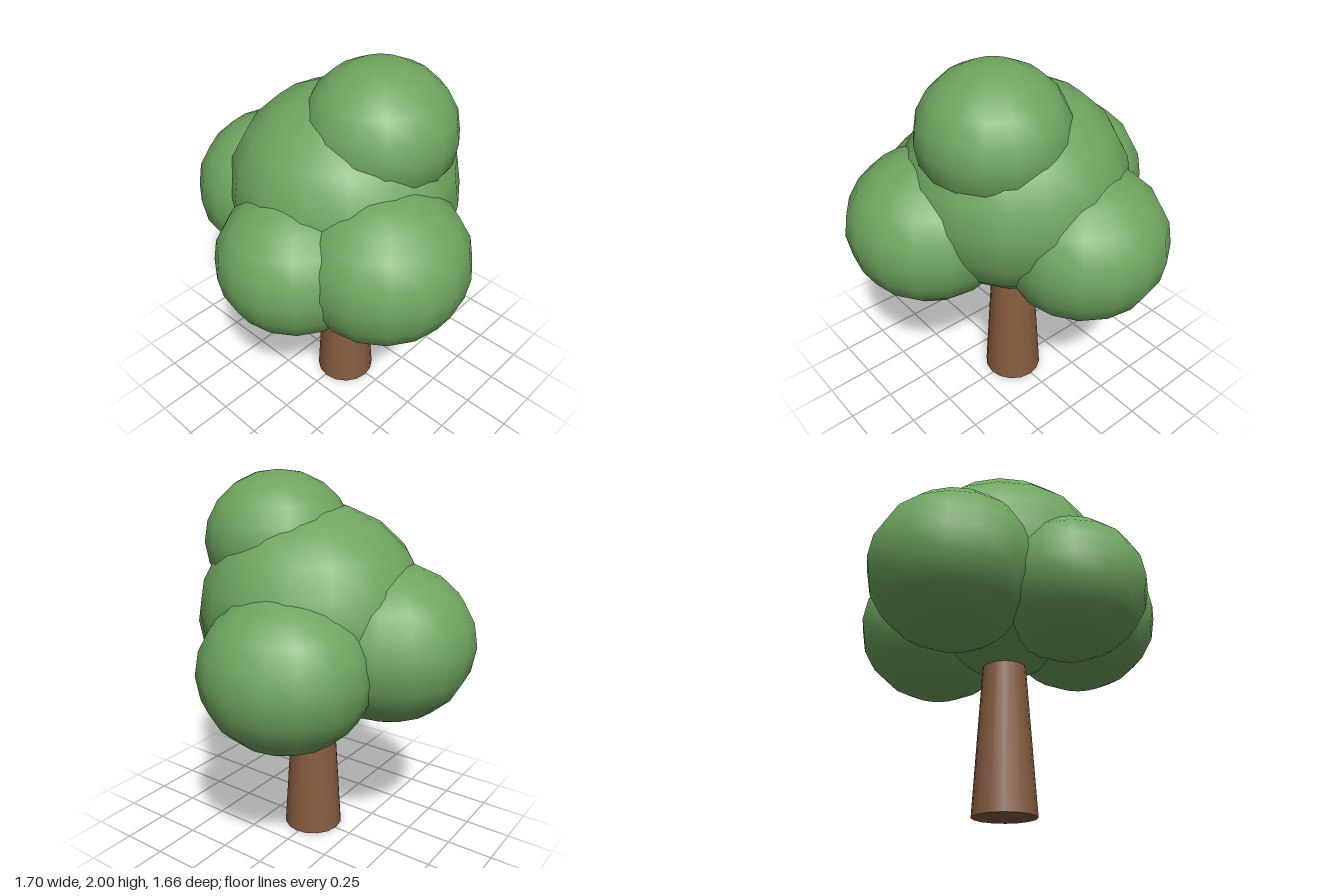
import * as THREE from 'three';

export function createModel() {
  const tree = new THREE.Group();
  tree.name = 'tree';

  const bark = new THREE.MeshStandardMaterial({ color: 0x855c40 });
  bark.name = 'bark brown';
  const leaf = new THREE.MeshStandardMaterial({ color: 0x6fa55f });
  leaf.name = 'leaf green';

  // Tapered trunk, reaching up into the crown
  const trunkHeight = 0.95;
  const trunk = new THREE.Mesh(new THREE.CylinderGeometry(0.103, 0.164, trunkHeight, 16), bark);
  trunk.name = 'trunk';
  trunk.position.set(0.01, trunkHeight / 2, 0.01);
  tree.add(trunk);

  // Crown of overlapping, slightly flattened leaf clumps
  const flatten = 0.92;
  const crown = new THREE.Group();
  crown.name = 'crown';
  tree.add(crown);

  const addClump = (name, radius, x, y, z) => {
    const clump = new THREE.Mesh(new THREE.SphereGeometry(radius, 16, 10), leaf);
    clump.name = name;
    clump.scale.y = flatten;
    clump.position.set(x, y, z);
    crown.add(clump);
  };

  addClump('mainClump', 0.593, 0, 1.3, 0);
  addClump('leftClump', 0.435, 0.415, 1.13, 0.18);
  addClump('rightClump', 0.445, -0.407, 1.165, 0.085);
  addClump('frontClump', 0.4, 0.075, 1.1, 0.43);
  addClump('backClump', 0.44, -0.12, 1.09, -0.395);
  addClump('topClump', 0.385, 0.175, 1.646, -0.055);

  return tree;
}
